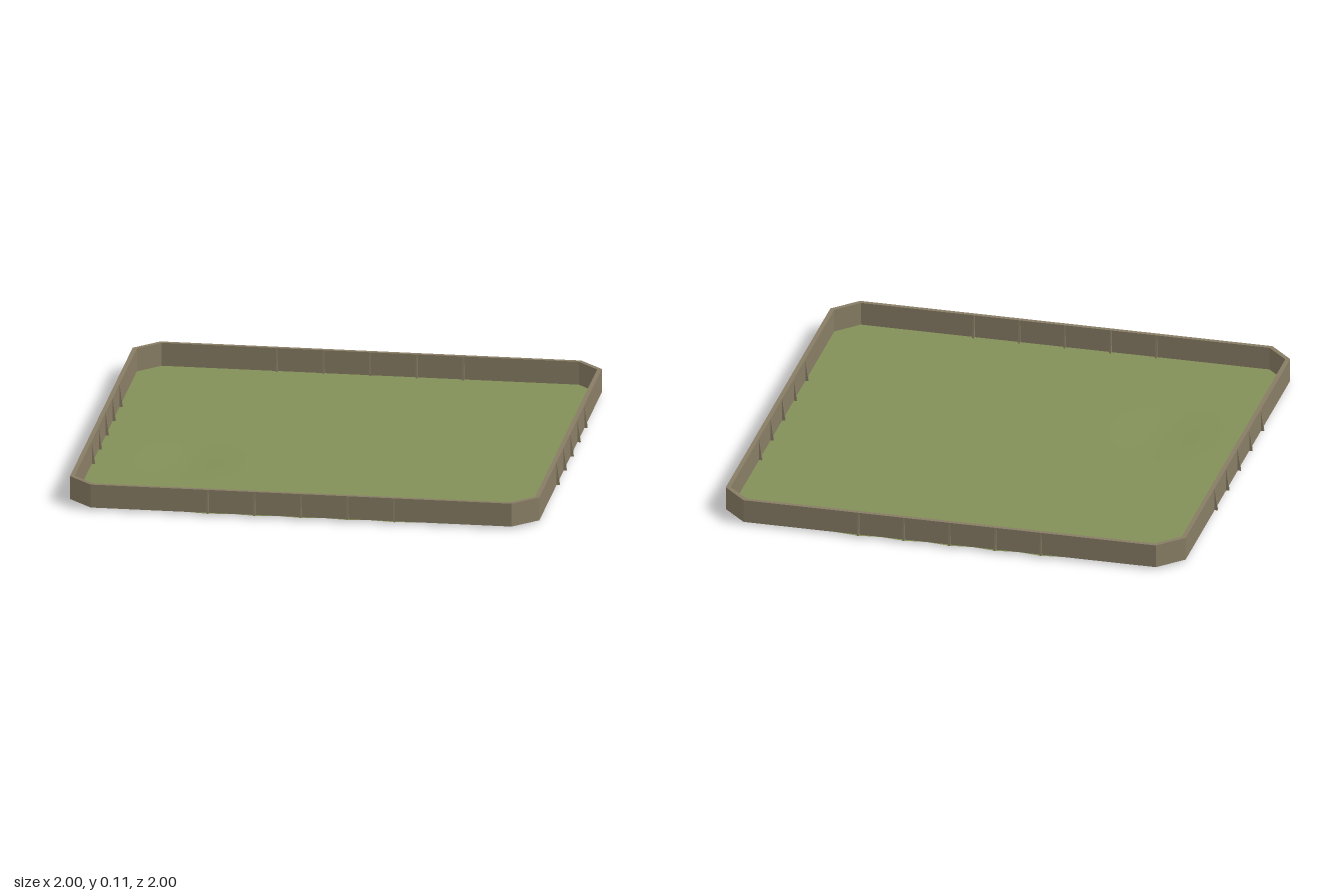
import * as THREE from 'three';

const BASE = 0.01, TOP = 0.11, OUTER = 0.987, INNER = 0.968;
const STEPS = [-2, -1, 0, 1, 2].map((i) => i * 0.196);
const DIP = { x: -0.59, z: 0.28, rx: 0.26, rz: 0.36 };

// Square with cut corners; bulge adds shallow points along the front and back edges
function octagon(half, cut, bulge = 0) {
  const pts = [];
  for (const s of [1, -1]) {
    pts.push([s * half, -s * cut], [s * half, s * cut], [s * cut, s * half]);
    if (bulge) {
      pts.push([s * 0.49, s * half]);
      [...STEPS].reverse().forEach((x) => {
        pts.push([s * x, s * (half + bulge)], [s * (x - 0.098), s * half]);
      });
    }
    pts.push([-s * cut, s * half]);
  }
  return pts.map(([x, y]) => new THREE.Vector2(x, y));
}

export function createModel() {
  const group = new THREE.Group();
  const grass = new THREE.MeshStandardMaterial({ color: 0x839058, side: THREE.DoubleSide });
  grass.name = 'grass green';
  const stone = new THREE.MeshStandardMaterial({ color: 0x887d65 });
  stone.name = 'stone brown';

  const add = (name, geometry, material, parent = group) => {
    const mesh = new THREE.Mesh(geometry, material);
    mesh.name = name;
    parent.add(mesh);
    return mesh;
  };

  // Ground sheet with an opening for the shallow hollow
  const ground = new THREE.Shape(octagon(OUTER, 0.885, 0.012));
  const opening = new THREE.Path();
  opening.absellipse(DIP.x, -DIP.z, DIP.rx, DIP.rz, 0, Math.PI * 2, true);
  ground.holes.push(opening);
  add('ground', new THREE.ShapeGeometry(ground, 24).rotateX(-Math.PI / 2), grass)
    .position.y = BASE;

  // Shallow hollow in the ground
  const dish = [];
  for (let i = 0; i <= 8; i++) {
    const r = i / 8;
    dish.push(new THREE.Vector2(r, (BASE * (1 - Math.cos(Math.PI * r))) / 2));
  }
  const hollow = add('hollow', new THREE.LatheGeometry(dish, 48), grass);
  hollow.scale.set(DIP.rx, 1, DIP.rz);
  hollow.position.set(DIP.x, 0, DIP.z);

  // Low wall all round
  const wall = new THREE.Shape(octagon(OUTER, 0.885));
  wall.holes.push(new THREE.Path(octagon(INNER, 0.877).reverse()));
  const wallGeometry = new THREE.ExtrudeGeometry(wall, { depth: TOP - BASE, bevelEnabled: false });
  add('wall', wallGeometry.rotateX(-Math.PI / 2), stone).position.y = BASE;

  // Thin tapered fins that brace each wall on both faces
  const profile = new THREE.Shape([
    new THREE.Vector2(0.955, BASE), new THREE.Vector2(1, BASE),
    new THREE.Vector2(OUTER, TOP), new THREE.Vector2(INNER, TOP),
  ]);
  const fin = new THREE.ExtrudeGeometry(profile, { depth: 0.008, bevelEnabled: false });
  fin.translate(0, 0, -0.004);
  ['left', 'back', 'right', 'front'].forEach((side, k) => {
    const fins = new THREE.Group();
    fins.name = side + 'Fins';
    fins.rotation.y = (k * Math.PI) / 2;
    STEPS.forEach((z) => { add('fin', fin, stone, fins).position.z = z; });
    group.add(fins);
  });

  return group;
}
